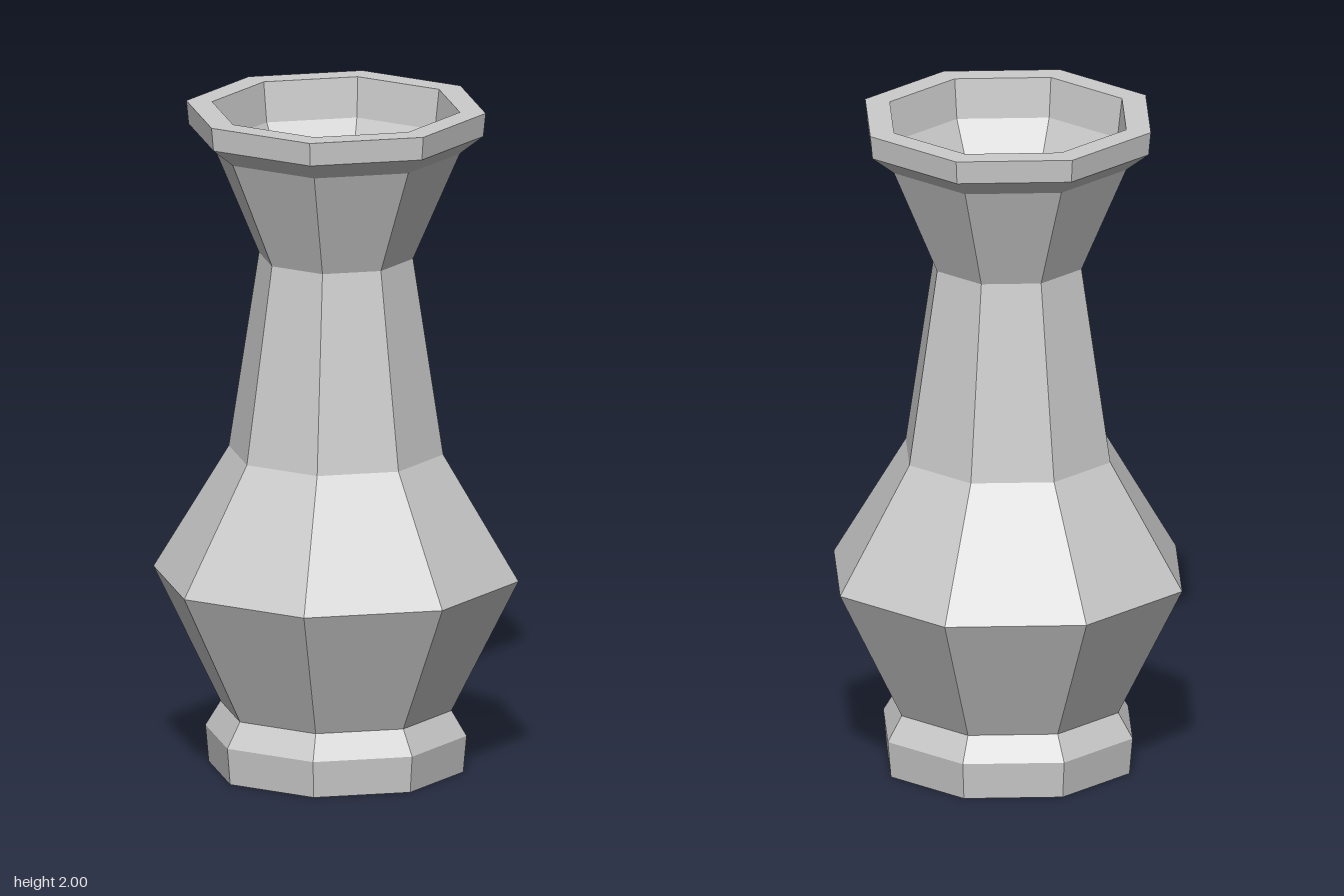
import * as THREE from 'three';

const SIDES = 8;

// Turns a [radius, height] profile into a faceted solid
function turned(name, profile, material) {
  const points = profile.map(([r, y]) => new THREE.Vector2(r, y));
  const geometry = new THREE.LatheGeometry(points, SIDES).toNonIndexed();
  geometry.computeVertexNormals();
  const mesh = new THREE.Mesh(geometry, material);
  mesh.name = name;
  return mesh;
}

export function createModel() {
  const material = new THREE.MeshStandardMaterial({ color: 0xcccccc, flatShading: true });
  const group = new THREE.Group();
  group.name = 'vase';

  // Closed underside and stepped foot
  group.add(turned('foot', [[0, 0], [0.38, 0], [0.39, 0.11], [0.345, 0.185]], material));

  // Wide belly, tapering neck and flared throat
  group.add(turned('body', [
    [0.345, 0.185], [0.545, 0.585], [0.32, 0.96], [0.23, 1.55], [0.37, 1.875],
  ], material));

  // Overhanging rim with a flat top
  group.add(turned('rim', [[0.37, 1.875], [0.44, 1.93], [0.447, 2], [0.37, 2]], material));

  // Hollow mouth with a steep lip and a flat floor
  group.add(turned('mouth', [[0.37, 2], [0.355, 1.88], [0.17, 1.55], [0, 1.55]], material));

  return group;
}
